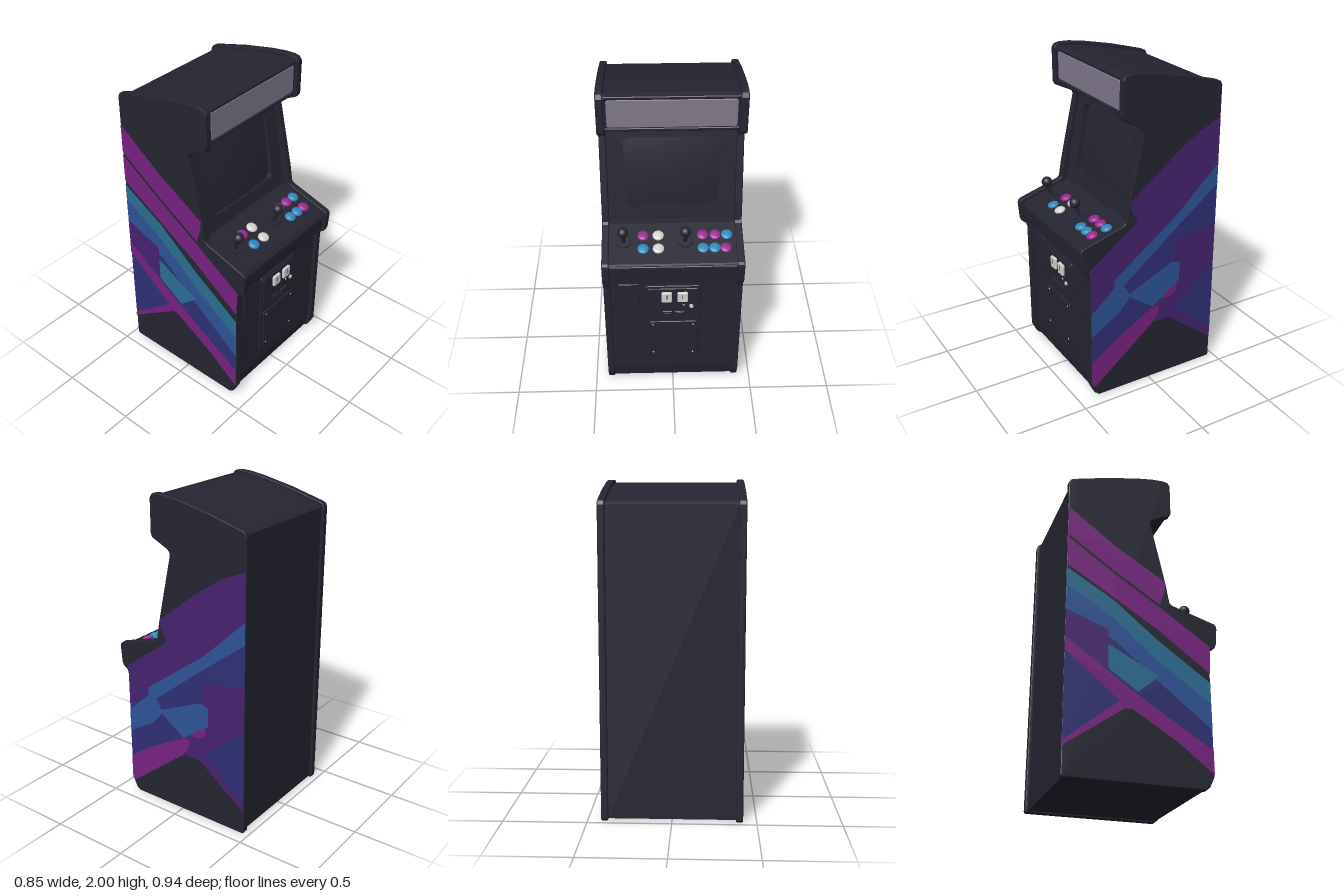
import * as THREE from 'three';

const mat = (name, color) => {
  const m = new THREE.MeshStandardMaterial({ color });
  m.name = name;
  return m;
};

export function createModel() {
  const M = {
    dark: mat('cabinetBlack', 0x242531), marquee: mat('marqueeGrey', 0x81798c),
    white: mat('white', 0xd2d2ce), pink: mat('buttonPink', 0x9a2890), sky: mat('buttonBlue', 0x2c88bb),
    purple: mat('artPurple', 0x462370), indigo: mat('artIndigo', 0x2f2f75),
    blue: mat('artBlue', 0x2e5397), magenta: mat('artMagenta', 0x772280), teal: mat('artTeal', 0x2b6c92),
  };
  const root = new THREE.Group();
  root.name = 'arcadeCabinet';

  const add = (parent, name, geo, m, x = 0, y = 0, z = 0) => {
    const mesh = new THREE.Mesh(geo, m);
    mesh.name = name;
    mesh.position.set(x, y, z);
    parent.add(mesh);
    return mesh;
  };
  // shape from [z, y] pairs, as seen from side s (+1 left, -1 right)
  const sideShape = (pts, s) => new THREE.Shape(pts.map(([z, y]) => new THREE.Vector2(-s * z, y)));
  // [z, y] profile extruded along x
  const extrudeX = (name, pts, x0, x1, bevel = 0) => {
    const geo = new THREE.ExtrudeGeometry(sideShape(pts, 1), {
      depth: x1 - x0 - 2 * bevel, bevelEnabled: bevel > 0, bevelThickness: bevel,
      bevelSize: bevel, bevelOffset: -bevel, bevelSegments: 2,
    });
    geo.rotateY(Math.PI / 2);
    return add(root, name, geo, M.dark, x0 + bevel);
  };
  // rounded four-sided outline, with separate top and bottom half widths
  const roundQuad = (C, wTop, wBot, y0, y1, r) => {
    const p = new C();
    p.moveTo(-wBot + r, y0);
    p.lineTo(wBot - r, y0);
    p.quadraticCurveTo(wBot, y0, wBot, y0 + r);
    p.lineTo(wTop, y1 - r);
    p.quadraticCurveTo(wTop, y1, wTop - r, y1);
    p.lineTo(-wTop + r, y1);
    p.quadraticCurveTo(-wTop, y1, -wTop, y1 - r);
    p.lineTo(-wBot, y0 + r);
    p.quadraticCurveTo(-wBot, y0, -wBot + r, y0);
    return p;
  };
  // rounded plate facing forward, centred on x, y, starting at z
  const plate = (name, m, x, y, z, w, h, d, r = 0.01, parent = root) => {
    const b = Math.min(0.004, d / 3);
    const geo = new THREE.ExtrudeGeometry(roundQuad(THREE.Shape, w / 2, w / 2, -h / 2, h / 2, r), {
      depth: d - b, bevelThickness: b, bevelSize: b, bevelOffset: -b, bevelSegments: 1, curveSegments: 4,
    });
    return add(parent, name, geo, m, x, y, z);
  };

  // side panels
  const panel = [
    [0.196, 1.97], [0.18, 1.993], [0.148, 2], [0.08, 1.997], [-0.02, 1.982], [-0.22, 1.94], [-0.434, 1.882],
    [-0.458, 1.872], [-0.468, 1.85], [-0.468, 0.01], [-0.46, 0], [0.36, 0], [0.385, 0.02], [0.413, 0.08],
    [0.413, 0.82], [0.424, 0.855], [0.455, 0.875], [0.464, 0.9], [0.472, 1], [0.468, 1.018], [0.455, 1.03],
    [0.185, 1.112], [0.172, 1.125], [0.153, 1.235], [0.06, 1.655], [0.062, 1.672], [0.075, 1.687],
    [0.185, 1.74], [0.196, 1.76],
  ];
  extrudeX('leftSidePanel', panel, 0.378, 0.42, 0.006);
  extrudeX('rightSidePanel', panel, -0.42, -0.378, 0.006);

  // centre body
  extrudeX('cabinetBody', [
    [0.165, 1.975], [0.14, 1.982], [-0.02, 1.962], [-0.22, 1.92], [-0.43, 1.865], [-0.45, 1.85], [-0.45, 0.01],
    [0.365, 0.01], [0.38, 0.1], [0.375, 0.104], [0.39, 0.11], [0.39, 0.84], [0.44, 0.88], [0.452, 0.995],
    [0.44, 1.015], [0.16, 1.1], [0.1, 1.11], [-0.01, 1.68], [0.165, 1.755], [0.175, 1.765], [0.175, 1.965],
  ], -0.38, 0.38);

  // marquee and its trims
  plate('marqueePanel', M.marquee, 0, 1.87, 0.175, 0.725, 0.17, 0.006, 0.015);
  plate('marqueeTopTrim', M.dark, 0, 1.969, 0.172, 0.75, 0.02, 0.014, 0.004);
  plate('marqueeBottomTrim', M.dark, 0, 1.772, 0.172, 0.75, 0.02, 0.014, 0.004);

  // tilted screen surround with a domed tube
  const monitor = new THREE.Group();
  monitor.name = 'monitor';
  monitor.position.set(0, 1.39, 0.04);
  monitor.rotation.x = -0.187;
  root.add(monitor);
  const frame = new THREE.Shape([[-0.38, -0.29], [0.38, -0.29], [0.38, 0.295], [-0.38, 0.295]]
    .map(([x, y]) => new THREE.Vector2(x, y)));
  frame.holes.push(roundQuad(THREE.Path, 0.295, 0.275, -0.205, 0.25, 0.05));
  add(monitor, 'screenBezel', new THREE.ExtrudeGeometry(frame, { depth: 0.042, bevelEnabled: false }), M.dark);
  const lip = roundQuad(THREE.Shape, 0.31, 0.29, -0.218, 0.263, 0.055);
  lip.holes.push(roundQuad(THREE.Path, 0.285, 0.27, -0.2, 0.24, 0.05));
  add(monitor, 'screenLip', new THREE.ExtrudeGeometry(lip, { depth: 0.01, bevelEnabled: false }), M.dark, 0, 0, 0.037);
  const tube = new THREE.PlaneGeometry(0.6, 0.48, 16, 12);
  const tp = tube.attributes.position;
  for (let i = 0; i < tp.count; i++) {
    tp.setZ(i, 0.034 - 0.2 * tp.getX(i) ** 2 - 0.2 * tp.getY(i) ** 2);
  }
  tube.computeVertexNormals();
  add(monitor, 'screen', tube, M.dark, 0, 0.02, 0);

  // control panel: items stand square to the sloped surface
  const onDeck = (name, x, z) => {
    const g = new THREE.Group();
    g.name = name;
    g.position.set(x, 1.1 - (z - 0.16) * 0.3036, z);
    g.rotation.x = 0.295;
    root.add(g);
    return g;
  };
  for (const x of [-0.293, 0.075]) {
    const g = onDeck('joystick', x, 0.29);
    add(g, 'joystickBase', new THREE.CylinderGeometry(0.042, 0.045, 0.01, 24), M.dark, 0, 0.004);
    add(g, 'joystickShaft', new THREE.CylinderGeometry(0.009, 0.013, 0.1, 12), M.dark, 0, 0.05);
    add(g, 'joystickBall', new THREE.SphereGeometry(0.033, 20, 14), M.dark, 0, 0.1);
  }
  const buttonProfile = [[0, 0.018], [0.018, 0.018], [0.022, 0.015], [0.024, 0.012], [0.031, 0.011], [0.034, 0.006],
    [0.034, -0.004]].reverse().map(([r, y]) => new THREE.Vector2(r, y));
  const buttonGeo = new THREE.LatheGeometry(buttonProfile, 20);
  for (const [x, z, m] of [
    [-0.175, 0.248, M.pink], [-0.085, 0.248, M.white], [-0.175, 0.338, M.sky], [-0.085, 0.338, M.white],
    [0.18, 0.248, M.pink], [0.255, 0.248, M.pink], [0.325, 0.248, M.sky],
    [0.18, 0.338, M.sky], [0.249, 0.338, M.sky], [0.314, 0.338, M.pink],
  ]) add(onDeck('button', x, z), 'buttonCap', buttonGeo, m);
  plate('deckFrontTrim', M.dark, 0, 0.988, 0.443, 0.755, 0.034, 0.014, 0.008);

  // coin door
  plate('coinDoorFrame', M.dark, 0, 0.5, 0.388, 0.345, 0.61, 0.012, 0.025);
  plate('coinPanel', M.dark, 0, 0.672, 0.398, 0.31, 0.235, 0.01, 0.015);
  plate('cashPanel', M.dark, 0, 0.375, 0.398, 0.3, 0.29, 0.012, 0.015);
  for (const x of [-0.038, 0.058]) {
    plate('coinSlot', M.white, x, 0.727, 0.407, 0.064, 0.075, 0.016, 0.01);
    plate('coinSlit', M.dark, x, 0.735, 0.42, 0.006, 0.035, 0.004, 0.002);
  }
  for (const x of [-0.035, 0.042]) {
    plate('coinReturnFrame', M.dark, x, 0.588, 0.406, 0.062, 0.05, 0.012, 0.006);
    plate('coinReturnFlap', M.dark, x, 0.588, 0.416, 0.042, 0.03, 0.006, 0.004);
  }
  const bolt = (name, r, x, y, z) =>
    add(root, name, new THREE.CylinderGeometry(r, r, 0.012, 12).rotateX(Math.PI / 2), M.white, x, y, z);
  bolt('doorLock', 0.013, 0.112, 0.65, 0.41);
  bolt('doorPin', 0.006, 0.065, 0.66, 0.406);
  for (const x of [-0.125, 0.125]) for (const y of [0.255, 0.495]) bolt('cashPanelScrew', 0.005, x, y, 0.407);
  plate('servicePlate', M.dark, -0.268, 0.697, 0.388, 0.13, 0.245, 0.01, 0.008);

  // side artwork: flat layers, each just above the last, as [z, y] outlines
  const art = (s, layers) => layers.forEach(([m, pts], i) => {
    const mesh = add(root, s > 0 ? 'leftSideArt' : 'rightSideArt', new THREE.ShapeGeometry(sideShape(pts, s)), m);
    mesh.position.x = s * (0.421 + i * 0.0006);
    mesh.rotation.y = s * Math.PI / 2;
  });
  art(1, [
    [M.purple, [[-0.466, 1.66], [-0.4, 1.63], [-0.31, 1.59], [-0.19, 1.51], [-0.07, 1.42], [0.145, 1.25], [0.14, 1.2],
      [0.095, 1.12], [0.42, 0.88], [0.411, 0.84], [0.411, 0.08], [0.39, 0.07], [-0.02, 0.4], [-0.14, 0.4], [-0.466, 0.15]]],
    [M.indigo, [[-0.466, 1.24], [-0.466, 0.98], [-0.16, 0.92], [-0.16, 0.8], [-0.03, 0.66], [0, 0.51], [0.411, 0.25],
      [0.411, 0.6], [0.26, 0.74], [0.19, 0.72]]],
    [M.indigo, [[-0.466, 0.7], [-0.18, 0.45], [-0.466, 0.22]]],
    [M.blue, [[-0.466, 1.37], [-0.466, 1.235], [-0.16, 1], [0.19, 0.72], [0.14, 0.64], [0.22, 0.545], [0.411, 0.43],
      [0.411, 0.585], [0.255, 0.72], [0.25, 0.78], [-0.18, 1.1]]],
    [M.blue, [[0.16, 0.65], [-0.15, 0.79], [-0.21, 0.77], [-0.21, 0.65], [-0.02, 0.515], [0.13, 0.62]]],
    [M.magenta, [[0.411, 0.25], [0.25, 0.36], [-0.02, 0.515], [-0.065, 0.51], [-0.06, 0.46], [-0.02, 0.4], [0.39, 0.07],
      [0.411, 0.09]]],
    [M.magenta, [[-0.08, 0.55], [-0.11, 0.585], [-0.19, 0.635], [-0.19, 0.59], [-0.14, 0.55]]],
  ]);
  art(-1, [
    [M.indigo, [[-0.466, 0.98], [-0.177, 0.825], [0.095, 0.6], [0.411, 0.35], [0.411, 0.2], [-0.07, 0.45], [-0.466, 0.2]]],
    [M.magenta, [[-0.466, 1.67], [-0.177, 1.455], [0.145, 1.26], [0.14, 1.2], [0.11, 1.1], [-0.177, 1.28], [-0.466, 1.48]]],
    [M.magenta, [[-0.466, 1.46], [-0.177, 1.26], [0.117, 1.075], [0.42, 0.87], [0.411, 0.7], [0.095, 0.93], [-0.177, 1.1],
      [-0.466, 1.274]]],
    [M.teal, [[-0.466, 1.25], [-0.177, 1.08], [0.095, 0.86], [0.411, 0.64], [0.411, 0.51], [0.095, 0.727],
      [-0.177, 0.962], [-0.466, 1.137]]],
    [M.blue, [[-0.466, 1.137], [-0.177, 0.962], [0.095, 0.727], [0.411, 0.51], [0.411, 0.35], [0.095, 0.6],
      [-0.177, 0.825], [-0.466, 0.98]]],
    [M.purple, [[-0.466, 0.98], [-0.21, 0.885], [-0.21, 0.645], [-0.466, 0.81]]],
    [M.teal, [[-0.21, 0.795], [0.095, 0.637], [-0.035, 0.527], [-0.21, 0.645]]],
    [M.magenta, [[-0.466, 0.81], [-0.07, 0.53], [0.411, 0.23], [0.411, 0.09], [0.2, 0.255], [-0.07, 0.42], [-0.11, 0.42],
      [-0.466, 0.17], [-0.466, 0.2], [-0.144, 0.46], [-0.466, 0.726]]],
  ]);

  return root;
}
